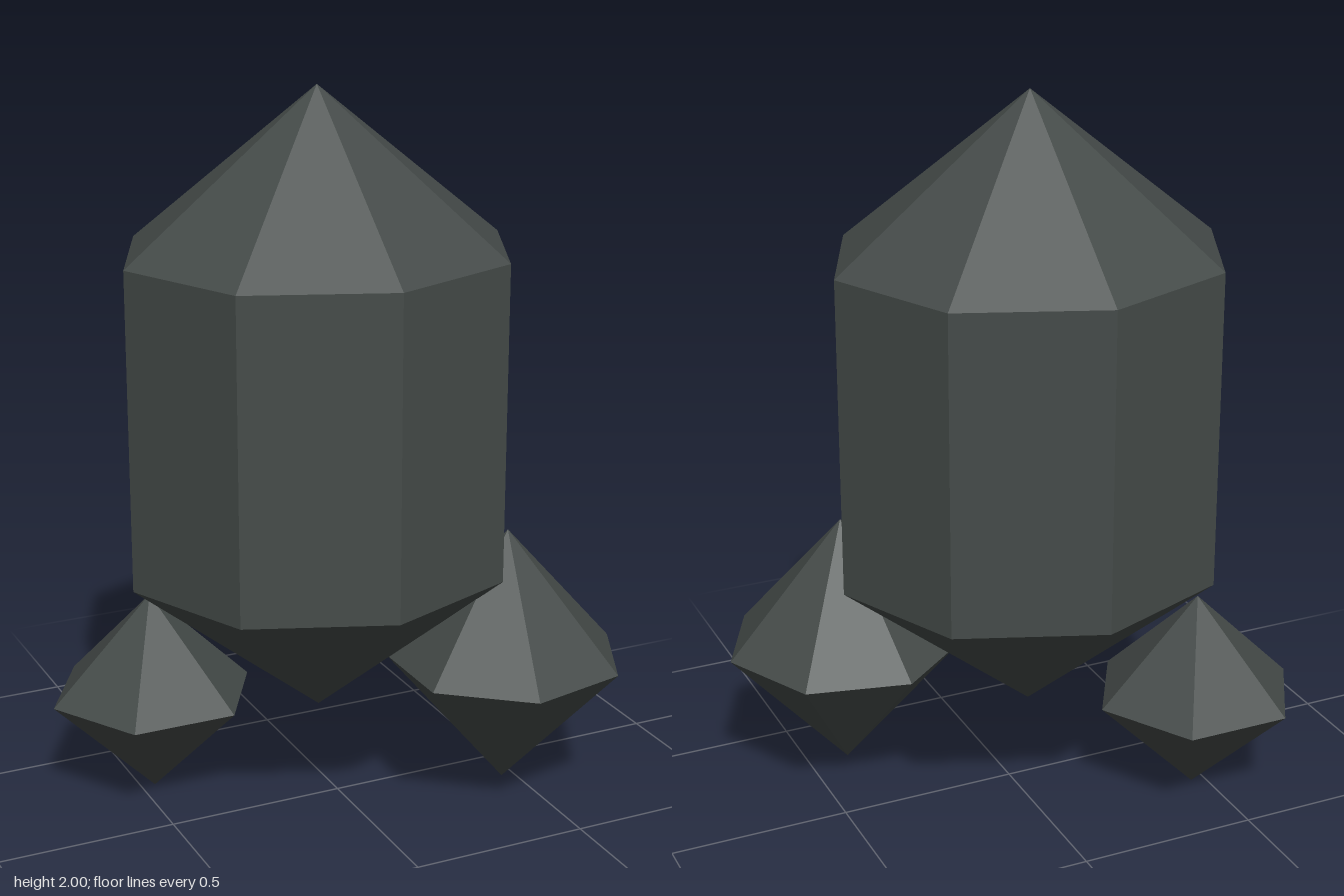
import * as THREE from 'three';

// Faceted crystal: flat-shaded lathe of [radius, height] points, first corner facing +x
function crystal(name, sides, profile, x, z, material) {
  const points = profile.map(([r, y]) => new THREE.Vector2(r, y));
  const geometry = new THREE.LatheGeometry(points, sides, Math.PI / 2).toNonIndexed();
  geometry.computeVertexNormals();
  const mesh = new THREE.Mesh(geometry, material);
  mesh.name = name;
  mesh.position.set(x, 0, z);
  return mesh;
}

export function createModel() {
  const group = new THREE.Group();
  group.name = 'crystalCluster';
  const darkStone = new THREE.MeshStandardMaterial({ color: 0x454b49 });
  darkStone.name = 'dark stone';

  // Tall eight-sided crystal, slightly narrower front to back
  const main = crystal('mainCrystal', 8,
    [[0, 0.26], [0.54, 0.69], [0.54, 1.565], [0, 2]], -0.042, -0.036, darkStone);
  main.scale.z = 0.503 / 0.54;

  // Small double pyramids at the foot
  const left = crystal('leftSmallCrystal', 7,
    [[0, 0.05], [0.332, 0.423], [0, 0.793]], 0.413, 0.212, darkStone);
  const right = crystal('rightSmallCrystal', 6,
    [[0, 0], [0.29, 0.294], [0, 0.585]], -0.46, -0.246, darkStone);

  group.add(main, left, right);
  return group;
}
